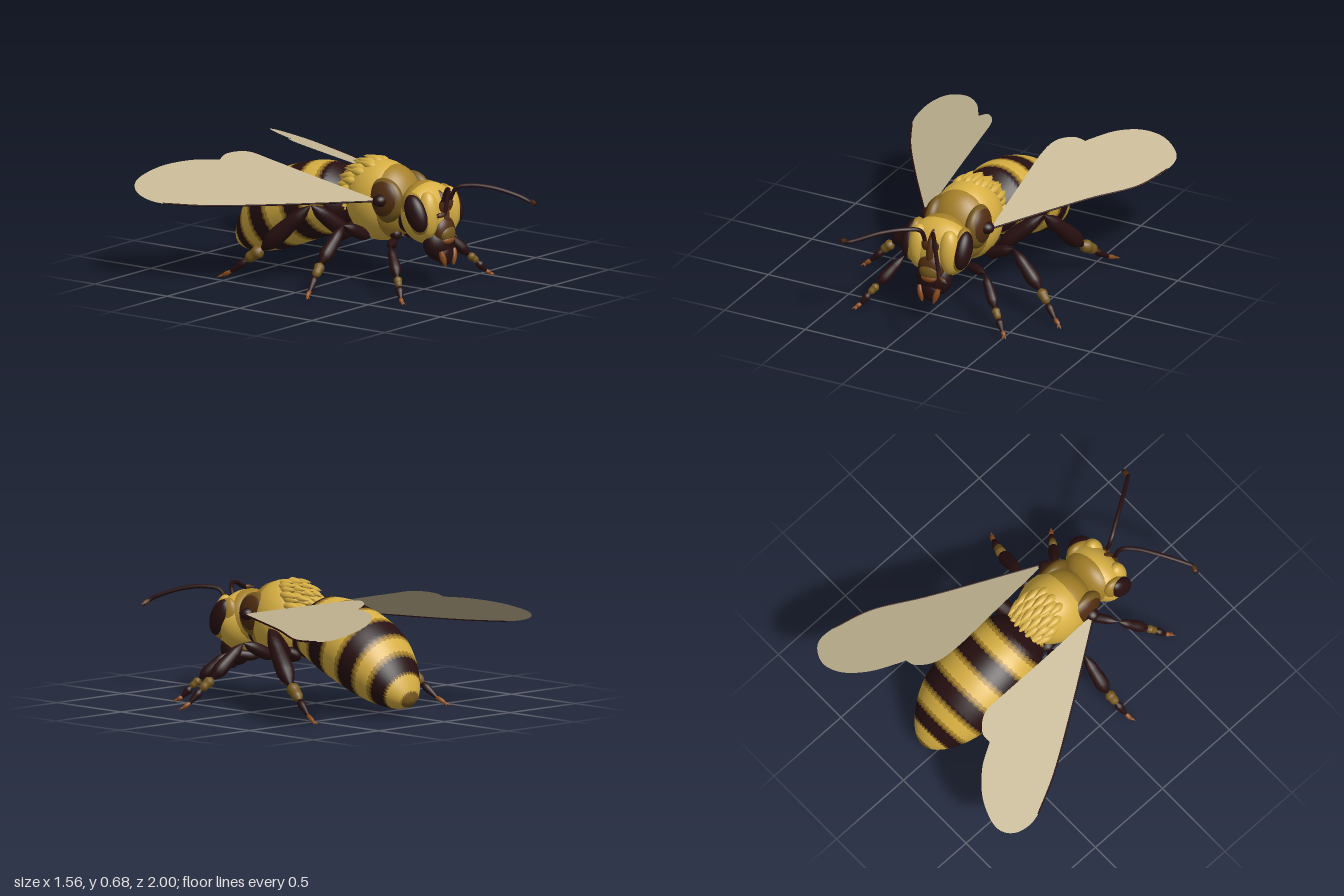
import * as THREE from 'three';
import { ParametricGeometry } from 'three/addons/geometries/ParametricGeometry.js';

const CX = 0.06; // body's plane of symmetry
const V = (x, y, z) => new THREE.Vector3(x, y, z);
const mat = (name, color, side = THREE.FrontSide) => {
  const m = new THREE.MeshStandardMaterial({ color, side });
  m.name = name;
  return m;
};

export function createModel() {
  const gold = mat('gold', 0xd6ae42);
  const darkGold = mat('dark gold', 0xa58028);
  const ochre = mat('ochre', 0x75571c);
  const brown = mat('brown', 0x4f2c10);
  const dark = mat('dark maroon', 0x270f10);
  const rust = mat('rust', 0x8a4a1c);
  const wingTan = mat('wing tan', 0xc6b895, THREE.DoubleSide);
  const root = new THREE.Group();
  root.name = 'bee';

  const add = (name, geometry, material, parent = root) => {
    const m = new THREE.Mesh(geometry, material);
    m.name = name;
    parent.add(m);
    return m;
  };
  // ellipsoid placed relative to the body's plane of symmetry
  const blob = (name, material, x, y, z, rx, ry, rz, tilt = 0) => {
    const m = add(name, new THREE.SphereGeometry(1, 32, 24), material);
    m.position.set(CX + x, y, z);
    m.scale.set(rx, ry, rz);
    m.rotation.x = tilt;
  };
  // turned limb segment from a to b, radii evenly spaced along it
  const limb = (name, material, a, b, radii, parent) => {
    const len = a.distanceTo(b);
    const pts = new THREE.SplineCurve(radii.map((r, i) =>
      new THREE.Vector2(r, (len * i) / (radii.length - 1)))).getPoints(12);
    pts.forEach(p => { p.x = Math.max(p.x, 0.001); });
    const m = add(name, new THREE.LatheGeometry(pts, 14), material, parent);
    m.position.copy(a);
    m.quaternion.setFromUnitVectors(V(0, 1, 0), b.clone().sub(a).normalize());
  };
  const tube = (name, material, pts, r) => add(name,
    new THREE.TubeGeometry(new THREE.CatmullRomCurve3(pts), 40, r, 8), material);

  // Abdomen: sections (top, bottom, half width) every 0.1 along a tilted axis
  const sections = new THREE.CatmullRomCurve3([
    [0.1, -0.07, 0.09], [0.24, -0.115, 0.185], [0.275, -0.125, 0.215], [0.29, -0.133, 0.23],
    [0.295, -0.136, 0.236], [0.288, -0.138, 0.236], [0.262, -0.138, 0.224],
    [0.207, -0.13, 0.194], [0.135, -0.118, 0.152], [0.06, -0.1, 0.105]].map(p => V(...p)));
  const L = 0.89, tilt = THREE.MathUtils.degToRad(20), SEG = 72;
  const abdomenPoint = (s, u, target) => {
    const q = sections.getPoint(Math.min(s / L, 1));
    const f = Math.sqrt(Math.max(0, 1 - Math.pow(s / L, 14)));
    const ang = -u * Math.PI * 2;
    const n = (q.x + q.y) / 2 + ((q.x - q.y) / 2) * f * Math.sin(ang);
    target.set(CX + q.z * f * Math.cos(ang),
      0.42 - s * Math.sin(tilt) + n * Math.cos(tilt),
      0.02 - s * Math.cos(tilt) - n * Math.sin(tilt));
  };
  const bands = [[0, gold], [0.035, dark], [0.115, ochre], [0.127, darkGold], [0.145, gold],
    [0.225, darkGold], [0.24, ochre], [0.252, dark], [0.35, ochre], [0.362, darkGold],
    [0.38, gold], [0.475, darkGold], [0.495, ochre], [0.507, dark], [0.603, ochre],
    [0.615, darkGold], [0.63, gold], [0.7, darkGold], [0.716, ochre], [0.727, dark],
    [0.795, ochre], [0.805, gold], [0.868, ochre]];
  const abdomen = new THREE.Group();
  abdomen.name = 'abdomen';
  root.add(abdomen);
  const jag = (s, u) => (s > 0 && s < L ? s + 0.004 * (Math.round(u * SEG) % 2 ? 1 : -1) : s);
  bands.forEach(([start, material], i) => {
    const end = i + 1 < bands.length ? bands[i + 1][0] : L;
    add('abdomenBand', new ParametricGeometry((u, v, t) => {
      const s0 = jag(start, u), s1 = jag(end, u);
      abdomenPoint(s0 + (s1 - s0) * v, u, t);
    }, SEG, 8), material, abdomen);
  });

  // Thorax with a darker front
  blob('thorax', gold, 0, 0.45, 0.17, 0.19, 0.225, 0.21);
  blob('thoraxFront', darkGold, 0, 0.452, 0.235, 0.176, 0.207, 0.155);
  blob('waist', dark, 0, 0.38, 0, 0.11, 0.12, 0.08);
  blob('neck', dark, 0, 0.4, 0.36, 0.1, 0.11, 0.07);

  // Overlapping pointed fur swept to the back
  const fur = new THREE.Group();
  fur.name = 'thoraxFur';
  root.add(fur);
  for (let row = 0; row < 4; row++) {
    const count = 6 + row * 2;
    for (let k = 0; k < count; k++) {
      const side = ((k / (count - 1)) * 2 - 1) * (0.4 + row * 0.27);
      const back = row * 0.25 + (k % 2) * 0.1 - 0.06;
      const n = V(Math.sin(side) * Math.cos(back), Math.cos(side) * Math.cos(back), -Math.sin(back));
      const p = V(CX + n.x * 0.173, 0.45 + n.y * 0.205, 0.17 + n.z * 0.191);
      const dir = V(0, 0, -1).addScaledVector(n, n.z * 0.6 + 0.17).normalize();
      limb('tuft', gold, p, p.clone().addScaledVector(dir, 0.115 + 0.025 * (k % 2)),
        [0.012, 0.025, 0.017, 0], fur);
    }
  }

  // Head
  blob('head', gold, 0, 0.42, 0.485, 0.19, 0.17, 0.125, -0.1);
  blob('headBack', darkGold, 0, 0.44, 0.452, 0.165, 0.155, 0.105);
  blob('faceStrip', brown, 0, 0.4, 0.53, 0.042, 0.16, 0.095);
  blob('muzzle', dark, 0, 0.265, 0.555, 0.105, 0.105, 0.075, -0.1);
  blob('faceShield', brown, 0, 0.335, 0.59, 0.078, 0.08, 0.047);
  blob('faceShieldCentre', ochre, 0, 0.32, 0.612, 0.06, 0.052, 0.033);
  blob('faceSpot', rust, 0, 0.285, 0.617, 0.048, 0.025, 0.028);
  blob('mouth', dark, 0, 0.2, 0.6, 0.06, 0.06, 0.035);
  for (const s of [1, -1]) {
    blob('eyeRim', darkGold, s * 0.144, 0.44, 0.505, 0.047, 0.122, 0.076, -0.42);
    blob('eye', dark, s * 0.161, 0.445, 0.522, 0.049, 0.108, 0.063, -0.42);
    blob('cheek', gold, s * 0.094, 0.43, 0.552, 0.06, 0.13, 0.062);
    limb('mandible', rust, V(CX + s * 0.06, 0.23, 0.615), V(CX + s * 0.035, 0.14, 0.63),
      [0.01, 0.017, 0.015, 0.004]);
    blob('sidePatchRim', ochre, s * 0.125, 0.48, 0.28, 0.056, 0.125, 0.12);
    blob('sidePatch', brown, s * 0.13, 0.485, 0.282, 0.058, 0.113, 0.108);
    blob('wingRoot', dark, s * 0.18, 0.49, 0.29, 0.045, 0.035, 0.04);
  }

  // Antennae
  const antennae = {
    left: [[0.09, 0.45, 0.59], [0.1, 0.57, 0.645], [0.14, 0.588, 0.71], [0.21, 0.575, 0.82],
      [0.29, 0.53, 0.935], [0.325, 0.5, 0.98], [0.37, 0.48, 0.985]],
    right: [[0.03, 0.45, 0.59], [0.02, 0.57, 0.64], [-0.04, 0.588, 0.7], [-0.15, 0.575, 0.775],
      [-0.27, 0.535, 0.855], [-0.31, 0.525, 0.875], [-0.355, 0.52, 0.86]],
  };
  for (const [side, list] of Object.entries(antennae)) {
    const pts = list.map(p => V(...p));
    tube(side + 'Antenna', dark, pts, 0.012);
    limb(side + 'AntennaBase', brown, pts[0], pts[0].clone().lerp(pts[1], 0.45), [0.02, 0.02, 0.013]);
    limb(side + 'AntennaTip', brown, pts[5], pts[6], [0.012, 0.014, 0.013, 0.004]);
  }

  // Wings: flat outlines (x, z) on a sloping plane, leading edge first
  const wing = (name, outline, sx, sz) => {
    const [bx, bz] = outline[0];
    const height = (x, z) => 0.49 + sx * (x - bx) + sz * (z - bz);
    const shape = new THREE.Shape();
    shape.moveTo(bx, -bz);
    const spline = list => shape.splineThru(list.map(([x, z]) => new THREE.Vector2(x, -z)));
    spline(outline.slice(1, 10)); // fore lobe up to the notch
    spline(outline.slice(10));    // hind lobe
    shape.closePath();
    const g = new THREE.ShapeGeometry(shape, 10).rotateX(-Math.PI / 2);
    const p = g.attributes.position;
    for (let i = 0; i < p.count; i++) p.setY(i, height(p.getX(i), p.getZ(i)));
    g.computeVertexNormals();
    add(name, g, wingTan);
    tube(name + 'LeadingEdge', dark,
      outline.slice(0, 4).map(([x, z]) => V(x, height(x, z), z)), 0.005);
  };
  wing('leftWing', [[0.27, 0.29], [0.56, -0.29], [0.72, -0.58], [0.775, -0.8], [0.76, -0.93],
    [0.65, -1], [0.53, -0.97], [0.425, -0.86], [0.35, -0.71], [0.335, -0.67],
    [0.27, -0.65], [0.21, -0.555], [0.2, -0.4], [0.225, -0.13], [0.257, 0.21]], -0.33, -0.161);
  wing('rightWing', [[-0.14, 0.29], [-0.445, -0.16], [-0.66, -0.5], [-0.765, -0.71], [-0.78, -0.84],
    [-0.74, -0.925], [-0.66, -0.95], [-0.525, -0.9], [-0.405, -0.79], [-0.325, -0.66],
    [-0.26, -0.655], [-0.19, -0.565], [-0.175, -0.4], [-0.16, -0.13], [-0.135, 0.24]], 0.422, -0.225);

  // Legs: hip, knee, ankle, foot, and thickness
  const legs = {
    leftFrontLeg: [[0.13, 0.24, 0.3], [0.29, 0.27, 0.4], [0.41, 0.12, 0.5], [0.51, 0.01, 0.575], 0.028],
    rightFrontLeg: [[-0.01, 0.24, 0.3], [-0.2, 0.27, 0.42], [-0.3, 0.12, 0.55], [-0.385, 0.01, 0.645], 0.028],
    leftMiddleLeg: [[0.15, 0.25, 0.16], [0.36, 0.35, 0.2], [0.56, 0.16, 0.25], [0.715, 0.01, 0.32], 0.036],
    rightMiddleLeg: [[-0.03, 0.25, 0.15], [-0.24, 0.35, 0.13], [-0.44, 0.16, 0.12], [-0.6, 0.01, 0.15], 0.036],
    leftHindLeg: [[0.17, 0.24, 0.04], [0.41, 0.46, -0.05], [0.51, 0.17, -0.33], [0.58, 0.01, -0.58], 0.045],
    rightHindLeg: [[-0.05, 0.24, 0.04], [-0.3, 0.45, -0.05], [-0.39, 0.17, -0.33], [-0.45, 0.01, -0.56], 0.045],
  };
  for (const [name, [h, k, a, f, r]] of Object.entries(legs)) {
    const leg = new THREE.Group();
    leg.name = name;
    root.add(leg);
    const [hip, knee, ankle, foot] = [h, k, a, f].map(p => V(...p));
    const joint = ankle.clone().lerp(foot, 0.4), heel = ankle.clone().lerp(foot, 0.72);
    heel.y = Math.max(0.02, heel.y - 0.012);
    limb('hip', dark, V(CX + (hip.x - CX) * 0.5, 0.33, hip.z), hip, [0, r, r * 1.1, 0], leg);
    limb('thigh', dark, hip, knee, [0, r * 0.85, r, r * 0.95, r * 0.75, 0], leg);
    limb('shin', dark, knee, ankle, [0, r * 0.8, r * 0.95, r * 1.1, r, 0], leg);
    limb('ankle', ochre, ankle.clone().lerp(knee, 0.08), joint, [0, r * 0.8, r * 0.7, r * 0.65, 0], leg);
    limb('footJoint', dark, joint.clone().lerp(ankle, 0.35), heel, [0, 0.022, 0.018, 0.01], leg);
    limb('foot', rust, heel, foot, [0.009, 0.013, 0.01, 0], leg);
    for (const s of [1, -1]) {
      const toe = foot.clone().add(V(s * 0.012, -0.006, 0.014 * Math.sign(foot.z)));
      limb('claw', rust, foot.clone().lerp(heel, 0.3), toe, [0.006, 0.006, 0], leg);
    }
  }
  return root;
}
